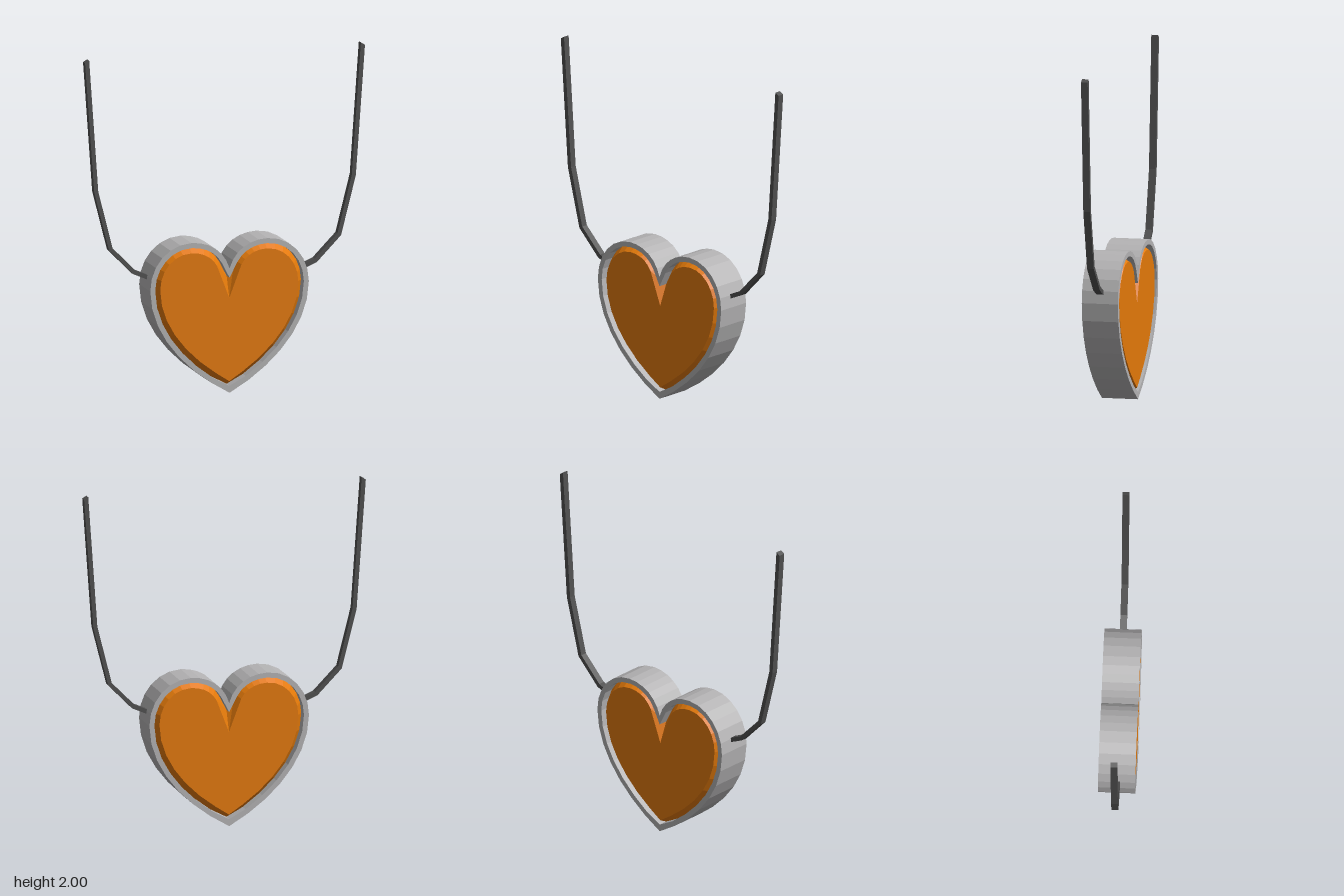
import * as THREE from 'three';

const V = (x, y) => new THREE.Vector2(x, y);
const material = (name, color) => {
  const m = new THREE.MeshStandardMaterial({ color });
  m.name = name;
  return m;
};

// Right half of the heart, from the bottom tip round to the cleft
function halfHeart() {
  const curves = [
    [new THREE.CubicBezierCurve(V(0, 0), V(0.28, 0.15), V(0.48, 0.38), V(0.48, 0.63)), 7],
    [new THREE.CubicBezierCurve(V(0.48, 0.63), V(0.48, 0.78), V(0.37, 0.9), V(0.23, 0.9)), 6],
    [new THREE.CubicBezierCurve(V(0.23, 0.9), V(0.12, 0.9), V(0.03, 0.84), V(0, 0.735)), 6],
  ];
  const pts = [];
  for (const [c, n] of curves) pts.push(...c.getPoints(n).slice(pts.length ? 1 : 0));
  return pts;
}

// Closed heart outline moved inwards by d, with its tip and cleft at given heights
function heartOutline(d, tipY, cleftY) {
  const base = halfHeart();
  const last = base.length - 1;
  const half = base.map((p, i) => {
    if (i === 0) return V(0, tipY);
    if (i === last) return V(0, cleftY);
    const t = base[i + 1].clone().sub(base[i - 1]).normalize();
    return V(p.x - t.y * d, p.y + t.x * d);
  });
  const mirrored = half.slice(1, -1).reverse().map(p => V(-p.x, p.y));
  return [...half, ...mirrored];
}

function flatGeometry(positions) {
  const g = new THREE.BufferGeometry();
  g.setAttribute('position', new THREE.Float32BufferAttribute(positions, 3));
  g.computeVertexNormals();
  return g;
}

// Sloping band between two matching outlines
function band(a, za, b, zb) {
  const out = [];
  a.forEach((p, i) => {
    const j = (i + 1) % a.length;
    const q = a[j], r = b[j], s = b[i];
    out.push(p.x, p.y, za, q.x, q.y, za, r.x, r.y, zb);
    out.push(p.x, p.y, za, r.x, r.y, zb, s.x, s.y, zb);
  });
  return flatGeometry(out);
}

// Flat strip of constant width along a path, mitred at the bends and thickened in z
function strip(path, halfWidth, depth) {
  const edge = sign => path.map((p, i) => {
    const before = path[Math.max(i - 1, 0)], after = path[Math.min(i + 1, path.length - 1)];
    const t1 = p.clone().sub(before).normalize(), t2 = after.clone().sub(p).normalize();
    const t = t1.add(t2).normalize();
    return V(p.x - t.y * halfWidth * sign, p.y + t.x * halfWidth * sign);
  });
  const left = edge(1), right = edge(-1);
  // Slanted top end, lower on the outside
  const outerEdge = path[0].x > 0 ? right : left;
  outerEdge[outerEdge.length - 1].y -= 0.013;
  const shape = new THREE.Shape([...right, ...left.reverse()]);
  const g = new THREE.ExtrudeGeometry(shape, { depth, bevelEnabled: false });
  g.translate(0, 0, -depth / 2);
  return g;
}

export function createModel() {
  const model = new THREE.Group();
  model.name = 'heartPendant';
  const silver = material('silver', 0xb4b3b4);
  const amber = material('amber', 0xe47a0a);
  const darkMetal = material('darkMetal', 0x505050);

  const add = (parent, name, geometry, mat) => {
    const mesh = new THREE.Mesh(geometry, mat);
    mesh.name = name;
    parent.add(mesh);
  };

  const outer = heartOutline(0, 0, 0.735);
  const inner = heartOutline(0.03, 0.042, 0.68);
  const face = heartOutline(0.062, 0.068, 0.56);

  // Frame around the stone
  const depth = 0.215;
  const frameShape = new THREE.Shape(outer);
  frameShape.holes.push(new THREE.Path(inner));
  const frameGeometry = new THREE.ExtrudeGeometry(frameShape, { depth, bevelEnabled: false });
  frameGeometry.translate(0, 0, -depth / 2);
  add(model, 'frame', frameGeometry, silver);

  // Bevelled stone, alike on both sides, almost level with the rim
  const edgeZ = 0.05, faceZ = 0.102;
  for (const side of ['front', 'back']) {
    const stone = new THREE.Group();
    stone.name = side + 'Stone';
    add(stone, side + 'Bevel', band(inner, edgeZ, face, faceZ), amber);
    const faceGeometry = new THREE.ShapeGeometry(new THREE.Shape(face));
    faceGeometry.translate(0, 0, faceZ);
    add(stone, side + 'Face', faceGeometry, amber);
    if (side === 'back') stone.rotation.y = Math.PI;
    model.add(stone);
  }

  // Chain on each side
  for (const [name, s] of [['leftChain', 1], ['rightChain', -1]]) {
    const path = [[0.465, 0.693], [0.55, 0.73], [0.692, 0.875], [0.78, 1.22], [0.835, 1.998]];
    add(model, name, strip(path.map(([x, y]) => V(x * s, y)), 0.0125, 0.04), darkMetal);
  }
  return model;
}
